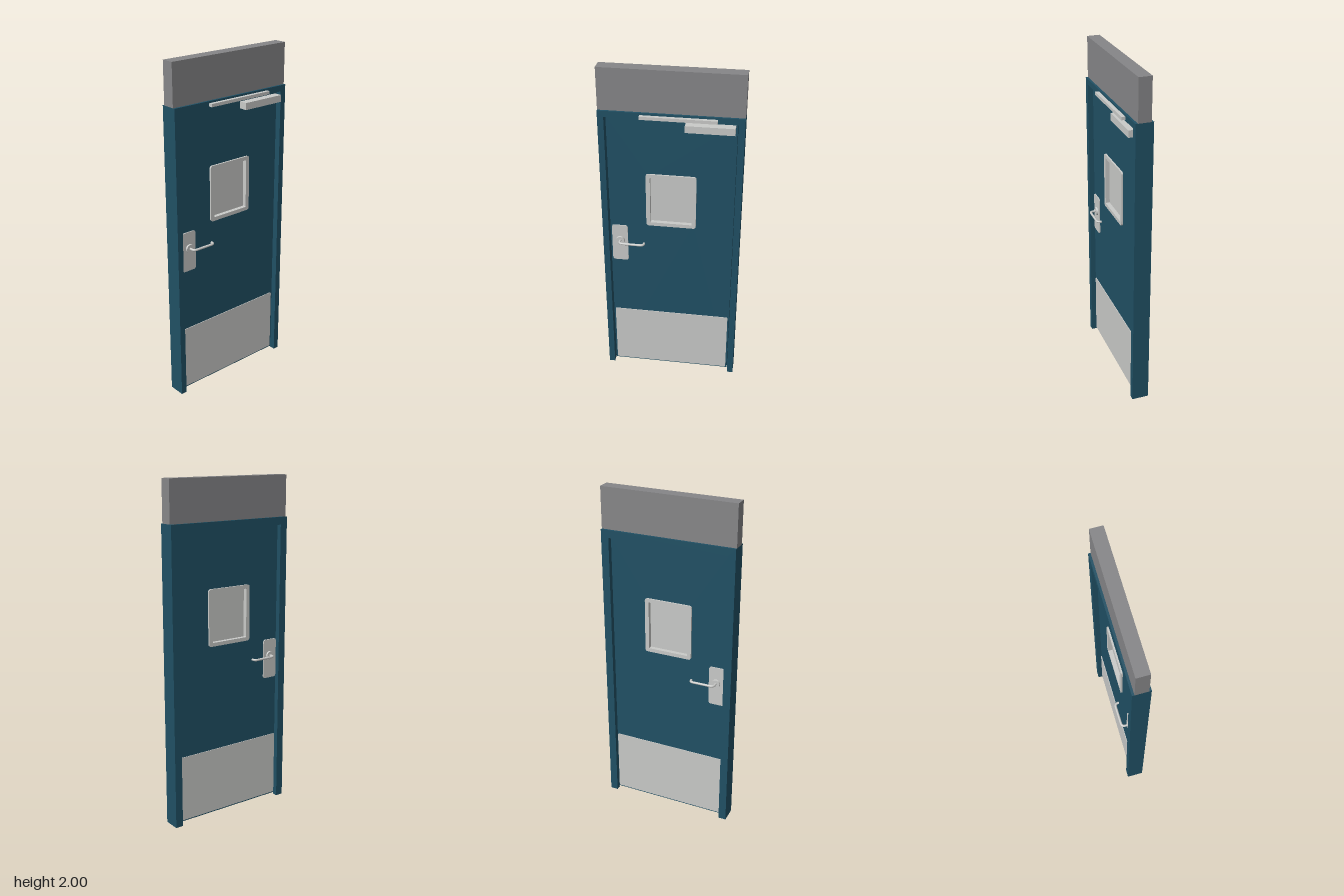
import * as THREE from 'three';

const paint = new THREE.MeshStandardMaterial({ color: 0x205064 });
paint.name = 'blue paint';
const metal = new THREE.MeshStandardMaterial({ color: 0xc9cac8 });
metal.name = 'brushed metal';
const wall = new THREE.MeshStandardMaterial({ color: 0x868688 });
wall.name = 'grey wall';

function add(group, name, geometry, material, x = 0, y = 0, z = 0) {
  const mesh = new THREE.Mesh(geometry, material);
  mesh.name = name;
  mesh.position.set(x, y, z);
  group.add(mesh);
  return mesh;
}

// Box given by its limits on each axis
function box(group, name, material, x0, x1, y0, y1, z0, z1) {
  return add(group, name, new THREE.BoxGeometry(x1 - x0, y1 - y0, z1 - z0), material,
    (x0 + x1) / 2, (y0 + y1) / 2, (z0 + z1) / 2);
}

// Rectangle with rounded corners, as a closed list of points
function roundRect(x0, x1, y0, y1, r) {
  const s = new THREE.Shape();
  s.moveTo(x0 + r, y0);
  s.lineTo(x1 - r, y0);
  s.absarc(x1 - r, y0 + r, r, -Math.PI / 2, 0);
  s.absarc(x1 - r, y1 - r, r, 0, Math.PI / 2);
  s.absarc(x0 + r, y1 - r, r, Math.PI / 2, Math.PI);
  s.absarc(x0 + r, y0 + r, r, Math.PI, Math.PI * 1.5);
  return s;
}

function plate(shape, depth, hole) {
  if (hole) shape.holes.push(hole);
  return new THREE.ExtrudeGeometry(shape, { depth, bevelEnabled: false, curveSegments: 4 });
}

// Upside-down U: two jambs and a head
function jambFrame(inner, headY, depth) {
  const s = new THREE.Shape();
  [[-0.4, 0], [-inner, 0], [-inner, headY], [inner, headY], [inner, 0], [0.4, 0], [0.4, 1.76], [-0.4, 1.76]]
    .forEach(([x, y], i) => (i ? s.lineTo(x, y) : s.moveTo(x, y)));
  return plate(s, depth);
}

// Lever handle set and kick plate for one face; side = 1 front, -1 back
function faceFittings(side) {
  const g = new THREE.Group();
  g.name = side > 0 ? 'frontFittings' : 'backFittings';
  const face = 0.02;
  const at = (depth) => (side > 0 ? face : -face - depth);
  add(g, 'kickPlate', plate(roundRect(-0.351, 0.351, 0.02, 0.415, 0.006), 0.004), metal, 0, 0, at(0.004));
  add(g, 'lockPlate', plate(roundRect(-0.351, -0.257, 0.79, 1.03, 0.014), 0.006), metal, 0, 0, at(0.006));

  const rose = add(g, 'handleRose', new THREE.CylinderGeometry(0.024, 0.026, 0.01, 24), metal,
    -0.302, 0.93, side * 0.03);
  rose.rotation.x = side * Math.PI / 2;

  // Lever: out of the rose, along the door, then back towards it
  const path = new THREE.CurvePath();
  const v = (x, z) => new THREE.Vector3(x, 0.93, side * z);
  path.add(new THREE.LineCurve3(v(-0.302, 0.02), v(-0.302, 0.05)));
  path.add(new THREE.QuadraticBezierCurve3(v(-0.302, 0.05), v(-0.302, 0.069), v(-0.28, 0.069)));
  path.add(new THREE.LineCurve3(v(-0.28, 0.069), v(-0.175, 0.07)));
  path.add(new THREE.QuadraticBezierCurve3(v(-0.175, 0.07), v(-0.157, 0.07), v(-0.157, 0.046)));
  add(g, 'lever', new THREE.TubeGeometry(path, 48, 0.007, 12, false), metal);
  const tip = add(g, 'leverTip', new THREE.CircleGeometry(0.007, 12), metal, -0.157, 0.93, side * 0.046);
  tip.rotation.y = side > 0 ? Math.PI : 0;
  return g;
}

export function createModel() {
  const model = new THREE.Group();
  model.name = 'door';

  // Wall piece over the door
  box(model, 'wallPanel', wall, -0.4, 0.4, 1.76, 2, -0.037, 0.037);

  // Frame with a rebate for the leaf
  add(model, 'frameRebate', jambFrame(0.365, 1.725, 0.07), paint, 0, 0, -0.02);
  add(model, 'frameStop', jambFrame(0.354, 1.715, 0.03), paint, 0, 0, -0.05);

  // Leaf with a window opening
  const leaf = new THREE.Shape();
  leaf.moveTo(-0.36, 0.012);
  leaf.lineTo(0.36, 0.012);
  leaf.lineTo(0.36, 1.72);
  leaf.lineTo(-0.36, 1.72);
  add(model, 'leaf', plate(leaf, 0.04, roundRect(-0.13, 0.13, 1.06, 1.37, 0.004)), paint, 0, 0, -0.02);

  // Window surround through the leaf, with a recessed pane
  add(model, 'windowFrame',
    plate(roundRect(-0.144, 0.144, 1.048, 1.382, 0.014), 0.06, roundRect(-0.12, 0.12, 1.07, 1.36, 0.003)),
    metal, 0, 0, -0.03);
  box(model, 'windowPane', metal, -0.122, 0.122, 1.068, 1.362, -0.005, 0.005);

  // Door closer: body on the leaf, slide rail on the head
  box(model, 'closerBody', metal, 0.08, 0.35, 1.67, 1.71, 0.02, 0.069);
  box(model, 'closerRail', metal, -0.168, 0.255, 1.731, 1.749, 0.05, 0.072);

  model.add(faceFittings(1), faceFittings(-1));
  return model;
}
